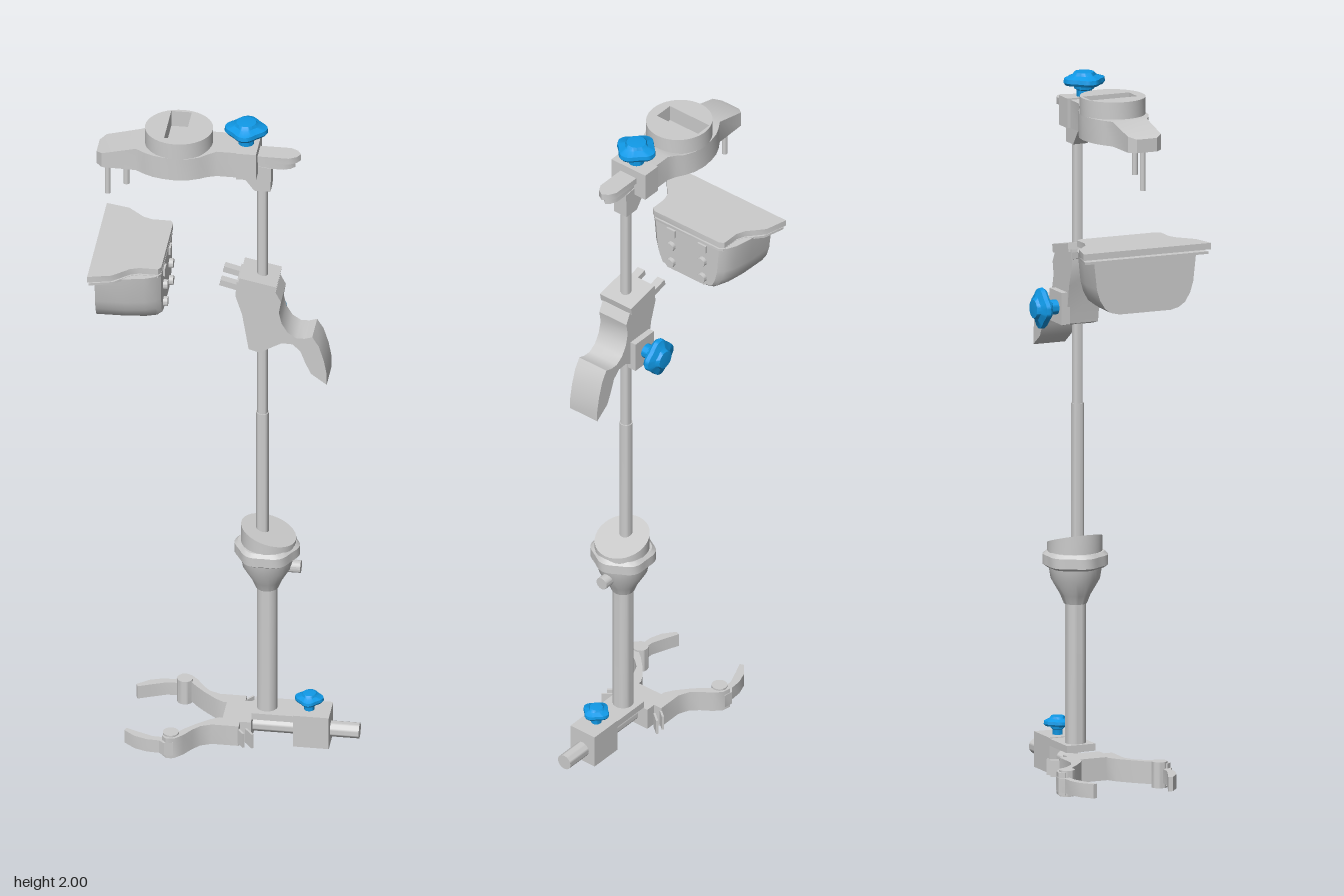
import * as THREE from 'three';
import { toCreasedNormals } from 'three/addons/utils/BufferGeometryUtils.js';

const grey = new THREE.MeshStandardMaterial({ color: 0xcccccc, side: THREE.DoubleSide });
const blue = new THREE.MeshStandardMaterial({ color: 0x109ae8 });

export function createModel() {
  const root = new THREE.Group();

  const add = (name, geo, x = 0, y = 0, z = 0, mat = grey) => {
    const m = new THREE.Mesh(toCreasedNormals(geo, 0.6), mat);
    m.name = name;
    m.position.set(x, y, z);
    root.add(m);
    return m;
  };
  // Box given by its limits
  const box = (name, x0, x1, y0, y1, z0, z1) =>
    add(name, new THREE.BoxGeometry(x1 - x0, y1 - y0, z1 - z0), (x0 + x1) / 2, (y0 + y1) / 2, (z0 + z1) / 2);
  // Upright round bar
  const bar = (name, x, z, y0, y1, r0, r1 = r0) =>
    add(name, new THREE.CylinderGeometry(r1, r0, y1 - y0, 24), x, (y0 + y1) / 2, z);
  const lathe = (pts, n = 32) => new THREE.LatheGeometry(pts.map(p => new THREE.Vector2(...p)), n);
  // Side outline (x, y), given a width in z
  const side = (name, pts, half) => {
    const g = new THREE.ExtrudeGeometry(new THREE.Shape(pts.map(p => new THREE.Vector2(...p))),
      { depth: 2 * half, bevelEnabled: false });
    return add(name, g.translate(0, 0, -half));
  };
  // Plan outline (x, z), raised from y0 to y1
  const plan = (name, pts, y0, y1, hole) => {
    const v = a => a.map(p => new THREE.Vector2(p[0], -p[1]));
    const s = new THREE.Shape(v(pts));
    if (hole) s.holes.push(new THREE.Path(v(hole)));
    const g = new THREE.ExtrudeGeometry(s, { depth: y1 - y0, bevelEnabled: false });
    return add(name, g.rotateX(-Math.PI / 2), 0, y0, 0);
  };
  // Capped skin over cross-sections placed along x; each is [x, list of [y, z]]
  const loft = sections => {
    const pos = [], idx = [], n = sections[0][1].length, last = sections.length - 1;
    sections.forEach(([x, ring]) => ring.forEach(([y, z]) => pos.push(x, y, z)));
    for (let i = 0; i < last; i++) for (let j = 0; j < n; j++) {
      const a = i * n + j, b = i * n + (j + 1) % n;
      idx.push(a, b, b + n, a, b + n, a + n);
    }
    for (let j = 1; j < n - 1; j++) {
      idx.push(0, j + 1, j, last * n, last * n + j, last * n + j + 1);
    }
    const g = new THREE.BufferGeometry();
    g.setAttribute('position', new THREE.Float32BufferAttribute(pos, 3));
    g.setIndex(idx);
    return g;
  };
  // Four-lobed hand knob, r = head radius, h = height
  const knob = (name, x, y, z, r, h) => {
    const g = lathe([[0, 0], [0.36 * r, 0], [0.36 * r, 0.3 * h], [0.46 * r, 0.35 * h], [0.5 * r, 0.5 * h],
      [0.9 * r, 0.5 * h], [r, 0.6 * h], [0.97 * r, 0.75 * h], [0.6 * r, 0.85 * h], [0.45 * r, 0.97 * h], [0, h]], 48);
    const p = g.attributes.position;
    for (let i = 0; i < p.count; i++) {
      const px = p.getX(i), pz = p.getZ(i);
      if (Math.hypot(px, pz) < 0.55 * r) continue;
      const k = 0.92 + 0.09 * Math.cos(4 * Math.atan2(pz, px));
      p.setXYZ(i, px * k, p.getY(i), pz * k);
    }
    return add(name, g, x, y, z, blue);
  };

  // Poles
  bar('outerTube', 0.108, 0, 0.08, 0.52, 0.029);
  bar('lowerPole', 0.095, 0, 0.55, 1.06, 0.018);
  bar('upperPole', 0.095, 0, 1.06, 1.86, 0.015);

  // Base clamp on its rod
  box('clampBlock', 0.185, 0.285, 0.005, 0.105, -0.043, 0.043);
  box('clampPlate', 0.07, 0.19, 0.083, 0.103, -0.043, 0.043);
  const rod = add('baseRod', new THREE.CylinderGeometry(0.022, 0.022, 0.32, 24), 0.205, 0.046, 0);
  rod.rotation.z = Math.PI / 2;
  knob('baseKnob', 0.225, 0.103, 0, 0.04, 0.055);

  // Gripping claw
  box('clawHub', -0.01, 0.07, 0.015, 0.08, -0.055, 0.055);
  for (const s of [1, -1]) {
    const flip = pts => pts.map(([x, z]) => [x, z * s]);
    plan('clawArm', flip([[0.04, 0.04], [0.04, 0.08], [-0.035, 0.08], [-0.065, 0.093], [-0.085, 0.115], [-0.105, 0.145],
      [-0.125, 0.165], [-0.15, 0.17], [-0.162, 0.155], [-0.15, 0.14], [-0.125, 0.135], [-0.105, 0.11],
      [-0.08, 0.085], [-0.045, 0.055], [-0.02, 0.04]]), 0.017, 0.08);
    plan('clawFinger', flip([[-0.13, 0.168], [-0.155, 0.172], [-0.17, 0.16], [-0.205, 0.158], [-0.24, 0.146],
      [-0.272, 0.12], [-0.268, 0.108], [-0.235, 0.122], [-0.19, 0.14], [-0.14, 0.142]]), 0.026, 0.066);
    bar('clawPivot', -0.14, s * 0.14, 0.012, 0.085, 0.022);
    for (const x of [0.045, 0.07]) {
      const lug = box('clawLug', x - 0.018, x + 0.018, 0.025, 0.07, s * 0.085 - 0.003, s * 0.085 + 0.003);
      lug.rotation.y = -s * 0.9;
    }
  }

  // Cone joint with lobed collar and sloping cap
  add('jointCone', lathe([[0, 0.495], [0.032, 0.495], [0.042, 0.52], [0.068, 0.565], [0.074, 0.6], [0, 0.6]]), 0.108);
  const collar = lathe([[0, 0.598], [0.08, 0.598], [0.09, 0.605], [0.09, 0.633], [0.08, 0.643], [0, 0.643]], 48);
  const cp = collar.attributes.position;
  for (let i = 0; i < cp.count; i++) {
    const k = 0.97 + 0.04 * Math.cos(6 * Math.atan2(cp.getZ(i), cp.getX(i)));
    cp.setXYZ(i, cp.getX(i) * k, cp.getY(i), cp.getZ(i) * k);
  }
  add('jointCollar', collar, 0.108);
  const cap = new THREE.CylinderGeometry(0.076, 0.076, 0.03, 32);
  const tp = cap.attributes.position;
  for (let i = 0; i < tp.count; i++) {
    if (tp.getY(i) > 0) tp.setY(i, 0.03 - 0.3 * tp.getX(i));
  }
  add('jointCap', cap, 0.112, 0.645, 0);
  const bolt = add('jointBolt', new THREE.CylinderGeometry(0.018, 0.018, 0.06, 16), 0.172, 0.565, 0);
  bolt.rotation.z = Math.PI / 2;

  // Middle clamp with curved lever
  side('leverClamp', [[0.03, 1.505], [0.026, 1.46], [0.045, 1.4], [0.063, 1.29], [0.095, 1.28], [0.125, 1.3], [0.155, 1.317],
    [0.185, 1.316], [0.207, 1.295], [0.22, 1.26], [0.236, 1.225], [0.28, 1.193], [0.28, 1.227], [0.272, 1.27],
    [0.258, 1.315], [0.24, 1.344], [0.218, 1.337], [0.195, 1.337], [0.172, 1.352], [0.155, 1.38], [0.147, 1.415],
    [0.153, 1.45], [0.138, 1.48]], 0.048);
  const jaw = box('clampJaw', 0.035, 0.14, 1.488, 1.512, -0.055, 0.055);
  jaw.rotation.z = -0.2;
  for (const z of [-0.035, 0.035]) {
    const prong = box('clampProng', -0.018, 0.06, 1.48, 1.498, z - 0.012, z + 0.012);
    prong.rotation.z = -0.25;
  }
  box('knobSeat', 0.055, 0.135, 1.29, 1.38, -0.066, -0.04);
  knob('leverKnob', 0.09, 1.335, -0.062, 0.057, 0.076).rotation.x = -Math.PI / 2;

  // Cup: rounded body with a flat flared lid
  const cupRing = (w, top, low) => {
    const half = [[top, 1], [1.47, 0.94], [1.44, 0.88], [1.415, 0.78], [low + 0.006, 0.66], [low, 0.5]];
    return [...half.map(([y, k]) => [y, k * w]), ...half.reverse().map(([y, k]) => [y, -k * w])];
  };
  add('cupBody', loft([[-0.35, cupRing(0.155, 1.552, 1.396)], [-0.27, cupRing(0.152, 1.552, 1.396)],
    [-0.215, cupRing(0.142, 1.552, 1.396)], [-0.185, cupRing(0.128, 1.552, 1.397)],
    [-0.172, cupRing(0.112, 1.552, 1.405)]]));
  const rim = [[-0.365, 0.193], [-0.3, 0.177], [-0.275, 0.155], [-0.255, 0.137], [-0.23, 0.127], [-0.178, 0.127], [-0.17, 0.115]];
  const lidOutline = [...rim, ...rim.map(([x, z]) => [x, -z]).reverse()];
  plan('cupLid', lidOutline, 1.559, 1.577);
  plan('cupLip', lidOutline.map(([x, z]) => [x * 0.98 - 0.004, z * 0.97]), 1.546, 1.553);
  for (const z of [-0.055, 0.055]) {
    box('cupSlot', -0.176, -0.166, 1.52, 1.543, z - 0.015, z + 0.015);
    for (const y of [1.43, 1.485]) {
      const stud = add('cupStud', new THREE.CylinderGeometry(0.014, 0.014, 0.02, 16), -0.17, y, z);
      stud.rotation.z = Math.PI / 2;
    }
  }

  // Top arm: low body, raised round head with a slot, pins
  const armRing = (w, top) => [[1.847, -w], [top, -w], [top, w], [1.847, w]];
  add('armBody', loft([[-0.362, 0.03, 1.885], [-0.345, 0.05, 1.892], [-0.25, 0.052, 1.916], [-0.225, 0.068, 1.916],
    [-0.2, 0.08, 1.916], [-0.17, 0.087, 1.916], [-0.135, 0.09, 1.916], [-0.1, 0.085, 1.916], [-0.07, 0.072, 1.916],
    [-0.05, 0.06, 1.92], [-0.025, 0.051, 1.926], [0.05, 0.051, 1.926]].map(([x, w, t]) => [x, armRing(w, t)])));
  const disc = Array.from({ length: 40 }, (_, i) => {
    const a = i / 40 * Math.PI * 2;
    return [-0.137 + 0.094 * Math.cos(a), 0.09 * Math.sin(a)];
  });
  plan('armHead', disc, 1.914, 1.964, [[-0.17, -0.08], [-0.113, -0.08], [-0.113, 0.06], [-0.17, 0.06]]);
  bar('longPin', -0.335, 0, 1.735, 1.86, 0.008);
  bar('shortPin', -0.283, 0, 1.77, 1.86, 0.008);

  // Top bracket, slide bar and knob
  box('armBracket', 0.03, 0.085, 1.847, 1.93, -0.06, 0.06);
  side('poleSocket', [[0.03, 1.85], [0.075, 1.79], [0.12, 1.79], [0.122, 1.865], [0.03, 1.875]], 0.022);
  const tongue = (half, x1) => [[0.07, -half], [x1 - 0.03, -half], [x1 - 0.01, -half * 0.6], [x1, 0],
    [x1 - 0.01, half * 0.6], [x1 - 0.03, half], [0.07, half]];
  plan('slideBar', tongue(0.028, 0.202), 1.887, 1.906);
  plan('slideBarLower', tongue(0.02, 0.186), 1.864, 1.888);
  knob('topKnob', 0.05, 1.925, 0, 0.06, 0.075);

  return root;
}
